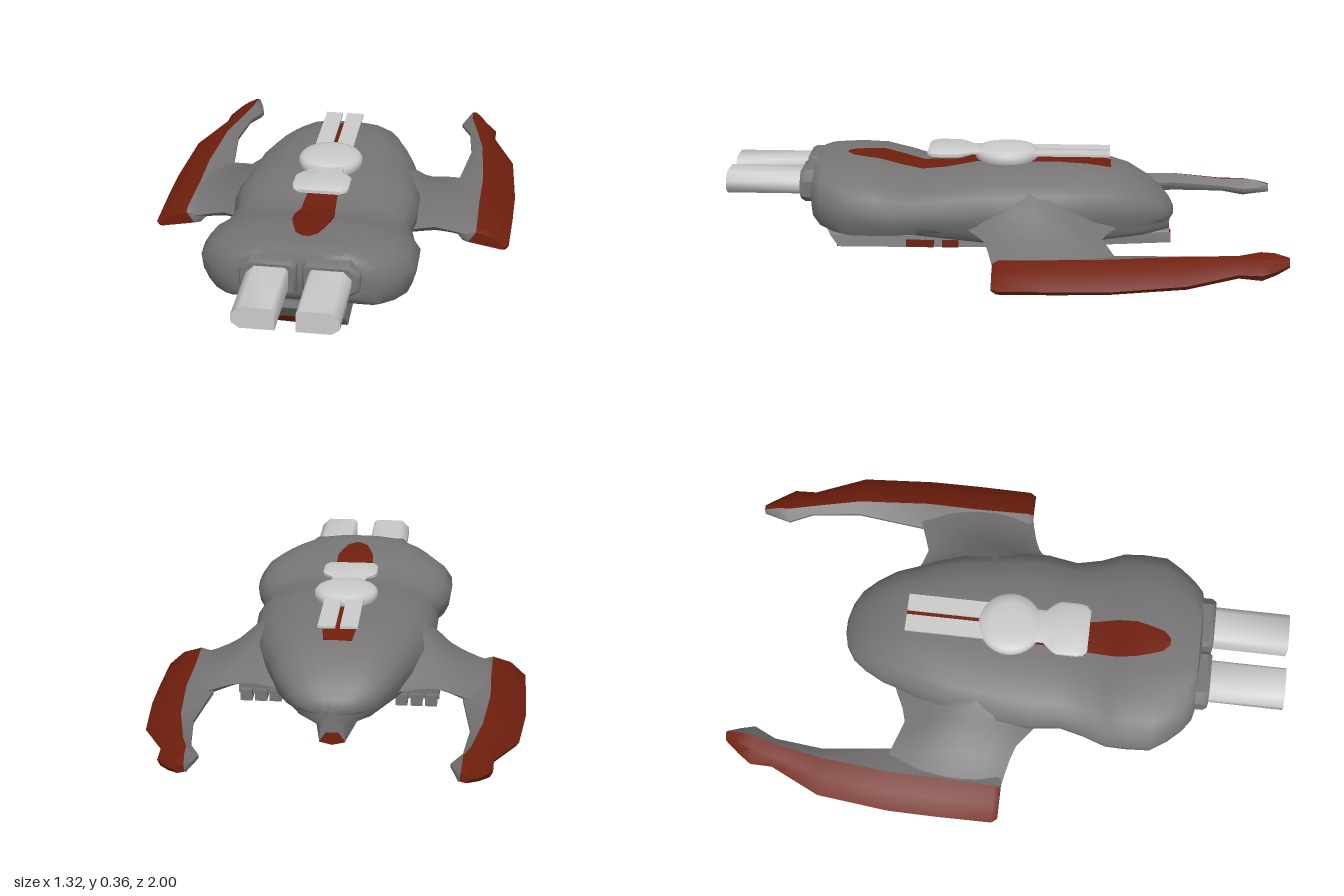
import * as THREE from 'three';
import { toCreasedNormals } from 'three/addons/utils/BufferGeometryUtils.js';

const material = (name, color) => {
  const m = new THREE.MeshStandardMaterial({ color });
  m.name = name;
  return m;
};

// Skin a row of equal-length closed loops, cap both ends, and face it outward.
function loft(loops, crease = 0.7) {
  const n = loops[0].length, pos = loops.flat(2), idx = [];
  for (let s = 0; s < loops.length - 1; s++)
    for (let i = 0; i < n; i++) {
      const a = s * n + i, b = s * n + (i + 1) % n;
      idx.push(a, b, b + n, a, b + n, a + n);
    }
  for (const s of [0, loops.length - 1]) {
    const c = pos.length / 3;
    for (let k = 0; k < 3; k++) pos.push(loops[s].reduce((t, p) => t + p[k], 0) / n);
    for (let i = 0; i < n; i++) {
      const a = s * n + i, b = s * n + (i + 1) % n;
      idx.push(...(s ? [a, b, c] : [b, a, c]));
    }
  }
  const v = (i) => new THREE.Vector3().fromArray(pos, i * 3);
  let volume = 0;
  for (let i = 0; i < idx.length; i += 3) volume += v(idx[i]).dot(v(idx[i + 1]).cross(v(idx[i + 2])));
  if (volume < 0) idx.reverse();
  const g = new THREE.BufferGeometry();
  g.setAttribute('position', new THREE.Float32BufferAttribute(pos, 3));
  g.setIndex(idx);
  return toCreasedNormals(g, crease);
}

// Half of a cross-section, top to bottom, mirrored into a loop.
const mirrorLoop = (half) => [...half, ...half.filter((p) => p[0] > 0).reverse().map(([x, y, z]) => [-x, y, z])];

// Hull stations: z, half width, deck height, underside height
const HULL = [
  [0.69, 0.2, 0.3, 0.17], [0.68, 0.245, 0.328, 0.15], [0.65, 0.285, 0.335, 0.125], [0.6, 0.33, 0.333, 0.115],
  [0.54, 0.37, 0.33, 0.113], [0.45, 0.375, 0.325, 0.113], [0.38, 0.372, 0.307, 0.113], [0.3, 0.342, 0.287, 0.113],
  [0.21, 0.32, 0.295, 0.113], [0.1, 0.335, 0.318, 0.11], [0, 0.33, 0.32, 0.11], [-0.2, 0.3, 0.32, 0.11],
  [-0.3, 0.27, 0.314, 0.11], [-0.38, 0.238, 0.3, 0.11], [-0.45, 0.215, 0.28, 0.11], [-0.52, 0.175, 0.24, 0.11],
  [-0.57, 0.135, 0.2, 0.112], [-0.6, 0.085, 0.165, 0.115], [-0.614, 0.03, 0.14, 0.12],
];
const SECTION = [[0, 1], [0.3, 0.99], [0.55, 0.95], [0.8, 0.81], [0.92, 0.66], [1, 0.46], [0.98, 0.22], [0.93, 0.03], [0.85, 0], [0, 0]];

// Wing thickness along the chord: chord fraction, share of the crown height
const CROWN = [[0, 0], [0.07, 0.35], [0.18, 0.72], [0.32, 0.95], [0.46, 1], [0.62, 0.85], [0.78, 0.5], [0.9, 0.16], [1, 0]];

function deckHeight(z) {
  const i = Math.max(1, HULL.findIndex((s) => s[0] <= z));
  const [a, b] = [HULL[i - 1], HULL[i]];
  return THREE.MathUtils.mapLinear(z, a[0], b[0], a[2], b[2]);
}

export function createModel() {
  const model = new THREE.Group();
  const grey = material('hull grey', 0x777575);
  const pale = material('pale metal', 0xcbcbcb);
  const red = material('rust red', 0x701f0d);
  const add = (name, geometry, mat, x = 0, y = 0, z = 0) => {
    const mesh = new THREE.Mesh(geometry, mat);
    mesh.name = name;
    mesh.position.set(x, y, z);
    model.add(mesh);
  };

  // Upper hull
  add('upperHull', loft(HULL.map(([z, w, top, low]) =>
    mirrorLoop(SECTION.map(([x, t]) => [x * w, low + t * (top - low), z]))), 0.9), grey);

  // Belly, narrow at the bow and widest under the wings: z, half width, underside height
  const belly = [[0.62, 0.13, 0.075], [0.45, 0.17, 0.065], [0.3, 0.2, 0.06], [0.12, 0.26, 0.06], [0, 0.3, 0.06],
    [-0.2, 0.29, 0.06], [-0.33, 0.23, 0.06], [-0.5, 0.14, 0.06], [-0.6, 0.05, 0.065]];
  add('belly', loft(belly.map(([z, w, low]) => mirrorLoop(
    [[0, 0.125, z], [w, 0.125, z], [w * 0.97, low + 0.025, z], [w * 0.88, low + 0.006, z], [w * 0.7, low, z], [0, low, z]])), 1), grey);

  // Keel with a raked bow and a painted bottom: z, width scale
  const keel = [[0.592, 1], [0.3, 0.97], [0, 0.85], [-0.3, 0.62], [-0.6, 0.3]];
  const rake = (loops, shift) => loops.map((loop, i) => (i ? loop : loop.map(([x, y, z]) => [x, y, z + y * 0.78 + shift])));
  add('keel', loft(rake(keel.map(([z, k]) => mirrorLoop(
    [[0, 0.1, z], [0.075 * k, 0.1, z], [0.14 * k, 0.052, z], [0.15 * k, 0.013, z], [0, 0.013, z]])), 0), 0.4), grey);
  add('keelBottom', loft(rake([...keel, [-0.607, 0.3]].map(([z, k]) => mirrorLoop(
    [[0, 0.045, z], [0.07 * k, 0.045, z], [0.148 * k, 0.0125, z], [0, 0.002, z]])), 0.005), 0.4), red);

  // Wing stations: x, front z, rear z, crown, front edge height, rear edge height, bottom
  const wing = [
    [0.18, 0.19, -0.42, 0.305, 0.15, 0.12, 0.1], [0.24, 0.165, -0.395, 0.285, 0.145, 0.12, 0.1],
    [0.29, 0.14, -0.37, 0.252, 0.14, 0.118, 0.1], [0.34, 0.1, -0.355, 0.208, 0.132, 0.115, 0.092],
    [0.39, 0.06, -0.372, 0.165, 0.12, 0.11, 0.08], [0.44, 0.042, -0.39, 0.135, 0.102, 0.1, 0.066],
    [0.49, 0.03, -0.41, 0.112, 0.085, 0.09, 0.05], [0.53, 0.022, -0.42, 0.1, 0.075, 0.085, 0.045],
  ];
  // Blade stations: z, inner x, paint edge x, outer x, inner y, paint edge top, outer y, bottom
  const blade = [
    [0.02, 0.5, 0.54, 0.645, 0.08, 0.088, 0.032, 0.024], [0, 0.47, 0.54, 0.66, 0.08, 0.1, 0.03, 0.016],
    [-0.2, 0.455, 0.535, 0.662, 0.085, 0.103, 0.032, 0.018], [-0.38, 0.44, 0.535, 0.66, 0.09, 0.108, 0.034, 0.022],
    [-0.64, 0.47, 0.512, 0.635, 0.09, 0.116, 0.05, 0.036], [-0.82, 0.45, 0.475, 0.552, 0.085, 0.108, 0.065, 0.05],
    [-0.9, 0.412, 0.452, 0.55, 0.085, 0.116, 0.062, 0.042], [-0.95, 0.425, 0.45, 0.515, 0.085, 0.112, 0.065, 0.05],
    [-1, 0.44, 0.446, 0.475, 0.08, 0.095, 0.075, 0.065],
  ];
  for (const [side, s] of [['left', 1], ['right', -1]]) {
    add(side + 'Wing', loft(wing.map(([x, f, r, top, fy, ry, low]) => {
      const at = (t, y) => [s * x, y, f + (r - f) * t];
      return [...CROWN.map(([t, h]) => {
        const base = fy + (ry - fy) * t;
        return at(t, base + (top - base) * h);
      }), at(0.85, low), at(0.5, low), at(0.12, low)];
    }), 1.2), grey);

    // Swept blade: grey inner edge, paint wrapping over the outside and underneath
    const under = ([z, a, b, , ya, , , low]) => [s * (a * 0.7 + b * 0.3), ya * 0.4 + low * 0.6, z];
    add(side + 'BladeInner', loft(blade.map((p) => {
      const [z, a, b, , ya, yb] = p;
      return [[s * a, ya, z], [s * b, yb, z], under(p), [s * a, ya - 0.012, z]];
    })), grey);
    add(side + 'BladePaint', loft(blade.map((p) => {
      const [z, , b, c, , yb, yc, low] = p;
      return [[s * b, yb, z], [s * (b * 0.45 + c * 0.55), yb * 0.6 + yc * 0.4 + 0.008, z], [s * c, yc, z],
        [s * (c - 0.01), low, z], under(p)];
    })), red);

    // Gun barrel and its socket, both with clipped outer corners
    const gun = (x0, x1, y0, y1, cut, z) => [[x0, y0], [x1 - cut, y0], [x1, y0 + cut * 0.7], [x1, y1 - cut],
      [x1 - cut, y1], [x0 + cut * 0.4, y1], [x0, y1 - cut * 0.4]].map(([x, y]) => [s * x, y, z]);
    add(side + 'Barrel', loft([0.64, 1].map((z) => gun(0.035, 0.178, 0.212, 0.29, 0.028, z)), 1), pale);
    add(side + 'Socket', loft([gun(0.01, 0.205, 0.19, 0.307, 0.035, 0.62), gun(0.01, 0.205, 0.19, 0.307, 0.035, 0.715),
      gun(0.018, 0.197, 0.198, 0.299, 0.033, 0.73)]), grey);

    // Thruster cluster under the wing root
    for (const i of [-1, 0, 1])
      add(side + 'Thruster', new THREE.BoxGeometry(0.042, 0.04, 0.07), grey, s * 0.275 + i * 0.052, 0.065, -0.315);
    add(side + 'ThrusterMount', new THREE.BoxGeometry(0.16, 0.04, 0.06), grey, s * 0.275, 0.085, -0.3);

    // Paint patches on the keel side
    for (const [z, length] of [[0.305, 0.1], [0.195, 0.06]])
      add(side + 'KeelPatch', new THREE.BoxGeometry(0.008, 0.026, length), red, s * 0.142, 0.026, z);

    // Turret tail rail
    add(side + 'TurretRail', new THREE.BoxGeometry(0.062, 0.009, 0.31), pale, s * 0.039, 0.344, -0.225);
  }

  // Painted deck stripe following the deck: z, half width
  const stripe = [[0.575, 0.012], [0.55, 0.038], [0.5, 0.054], [0.45, 0.067], [0.38, 0.07], [0.3, 0.06], [0.21, 0.055],
    [0.1, 0.06], [0, 0.06], [-0.2, 0.06], [-0.3, 0.06], [-0.385, 0.05]];
  add('deckStripe', loft(stripe.map(([z, w]) => {
    const y = deckHeight(z);
    return [[-w, y + 0.001, z], [0, y + 0.003, z], [w, y + 0.001, z], [w, y - 0.005, z], [-w, y - 0.005, z]];
  }), 0.5), red);

  // Turret: round cap, neck and rounded front pod
  const cap = [[0, 0.315], [0.11, 0.315], [0.115, 0.325], [0.115, 0.344], [0.105, 0.355], [0.075, 0.363], [0.04, 0.365], [0, 0.366]];
  add('turretCap', toCreasedNormals(new THREE.LatheGeometry(cap.map(([x, y]) => new THREE.Vector2(x, y)), 28), 0.9), pale, 0, 0, -0.005);
  const pod = [[0.06, 0.062, 0.008], [0.12, 0.062, 0.008], [0.15, 0.09, 0.012], [0.17, 0.1, 0.014], [0.24, 0.1, 0.014],
    [0.265, 0.095, 0.012], [0.28, 0.08, 0.006]];
  add('turretPod', loft(pod.map(([z, w, h]) => mirrorLoop([[0, 0.346 + h, z], [w * 0.85, 0.346 + h, z],
    [w, 0.346 + h * 0.4, z], [w, 0.346 - h * 0.4, z], [w * 0.85, 0.346 - h, z], [0, 0.346 - h, z]])), 0.9), pale);

  return model;
}
